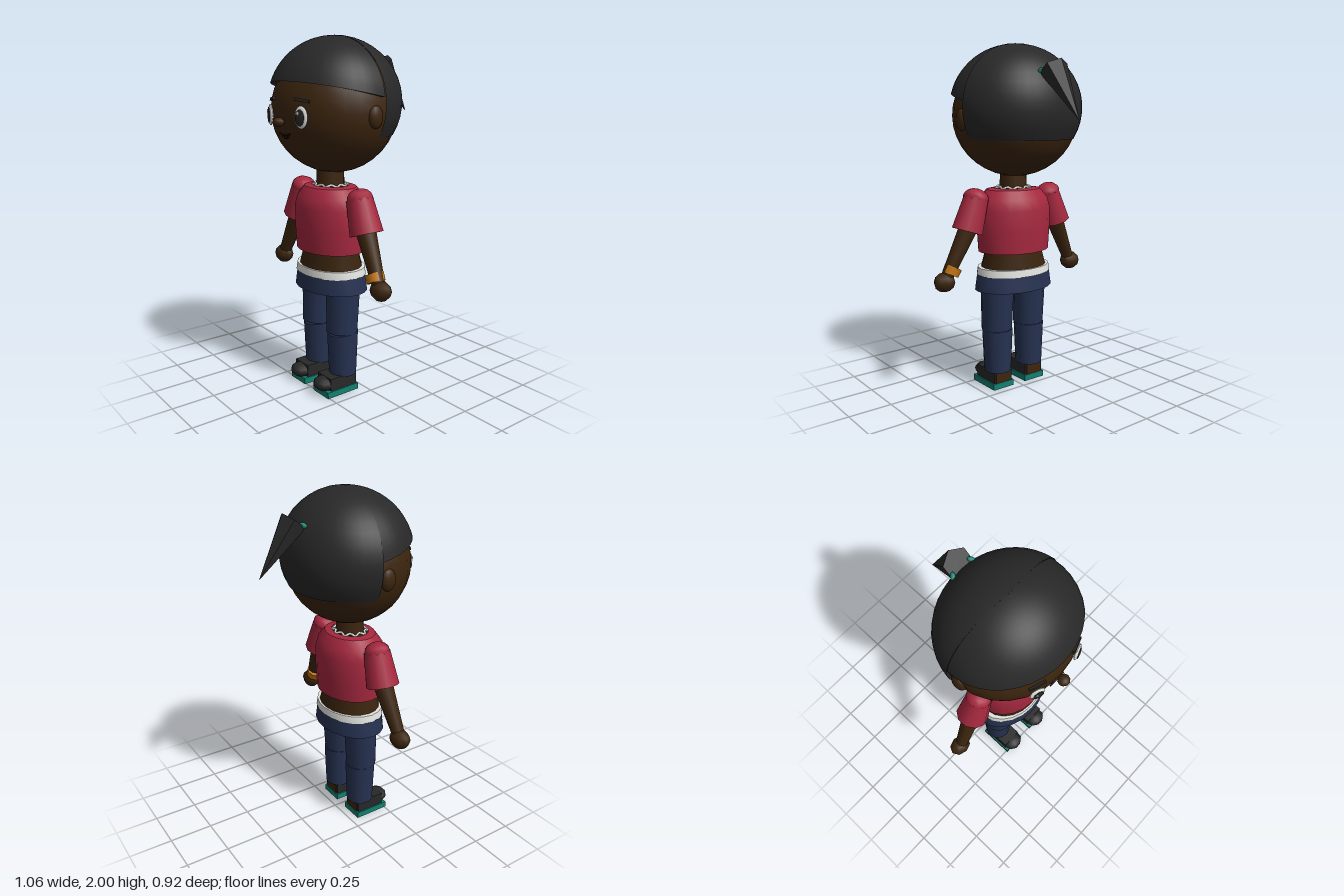
import * as THREE from 'three';
import { toCreasedNormals } from 'three/addons/utils/BufferGeometryUtils.js';

const mat = (name, color) => new THREE.MeshStandardMaterial({ name, color, side: THREE.DoubleSide });
const V = (x, y, z) => new THREE.Vector3(x, y, z);

export function createModel() {
  const skin = mat('skin', 0x3c250e), hair = mat('charcoal', 0x282828), red = mat('red', 0xa6283f);
  const denim = mat('denim', 0x263251), white = mat('white', 0xe4e4e0), teal = mat('teal', 0x128070);
  const orange = mat('orange', 0xc27512), dark = mat('darkBrown', 0x1c0f05);

  const model = new THREE.Group();
  model.name = 'character';
  const add = (name, geo, m, pos = [0, 0, 0], parent = model) => {
    const mesh = new THREE.Mesh(geo, m);
    mesh.name = name;
    mesh.position.set(...pos);
    parent.add(mesh);
    return mesh;
  };
  const box = (w, h, d) => new THREE.BoxGeometry(w, h, d);
  const ellipsoid = (rx, ry, rz, ws = 16, hs = 12) => new THREE.SphereGeometry(1, ws, hs).scale(rx, ry, rz);
  // Oval lathe around the body axis
  const oval = (name, pts, m, depth = 0.8) => add(name, toCreasedNormals(
    new THREE.LatheGeometry(pts.map(p => new THREE.Vector2(...p)), 20).scale(1, 1, depth), 0.6), m, [0, 0, 0.1]);
  // Tapered cylinder from a (radius ra) down to b (radius rb)
  const limb = (name, a, b, ra, rb, m, sides = 10) => {
    const mesh = add(name, new THREE.CylinderGeometry(ra, rb, a.distanceTo(b), sides), m);
    mesh.position.copy(a).lerp(b, 0.5);
    mesh.quaternion.setFromUnitVectors(V(0, 1, 0), a.clone().sub(b).normalize());
    return mesh;
  };

  // Torso and clothes
  oval('body', [[0, 0.64], [0.205, 0.64], [0.207, 0.72], [0.185, 0.8], [0.19, 0.9], [0.2, 1.05], [0.17, 1.14],
    [0.135, 1.172], [0.08, 1.182]], skin);
  add('neck', new THREE.CylinderGeometry(0.076, 0.082, 0.14, 12), skin, [0, 1.22, 0.1]);
  oval('shirt', [[0.18, 0.825], [0.222, 0.825], [0.23, 0.95], [0.232, 1.07], [0.215, 1.13], [0.168, 1.183], [0.12, 1.19]], red);
  oval('waistband', [[0.195, 0.69], [0.235, 0.69], [0.228, 0.732], [0.19, 0.732]], white, 0.76);
  oval('jeansHip', [[0.25, 0.6], [0.236, 0.692], [0.2, 0.692]], denim, 0.72);

  // Zigzag necklace
  const beads = Array.from({ length: 20 }, (_, i) => {
    const a = i * Math.PI / 10, r = i % 2 ? 0.108 : 0.092;
    return V(Math.cos(a) * r, 1.192 + (i % 2 ? -0.004 : 0.006), 0.1 + Math.sin(a) * r * 0.9);
  });
  add('necklace', new THREE.TubeGeometry(new THREE.CatmullRomCurve3(beads, true), 60, 0.007, 5, true), white);

  for (const s of [1, -1]) {
    const side = s > 0 ? 'left' : 'right';
    // Arm
    limb(side + 'Sleeve', V(s * 0.26, 1.145, 0.1), V(s * 0.322, 0.962, 0.1), 0.073, 0.092, red);
    add(side + 'Shoulder', ellipsoid(0.074, 0.055, 0.073, 10, 8), red, [s * 0.262, 1.145, 0.1]).rotation.z = s * 0.33;
    limb(side + 'Arm', V(s * 0.31, 0.99, 0.1), V(s * 0.445, 0.72, 0.12), 0.056, 0.036, skin);
    add(side + 'Hand', ellipsoid(0.066, 0.056, 0.053, 8, 6), skin, [s * 0.464, 0.688, 0.12]);

    // Leg, with a slit across the front of the knee
    const lower = new THREE.CylinderGeometry(0.09, 0.08, 0.255, 14);
    const p = lower.attributes.position;
    for (let i = 0; i < p.count; i++) {
      if (p.getY(i) > 0) p.setY(i, p.getY(i) - Math.max(0, p.getZ(i)) * 0.13);
    }
    limb(side + 'UpperLeg', V(s * 0.1175, 0.645, 0.1), V(s * 0.1175, 0.355, 0.11), 0.099, 0.09, denim, 14);
    add(side + 'LowerLeg', lower, denim, [s * 0.117, 0.2285, 0.104]);

    // Shoe
    add(side + 'Sole', box(0.142, 0.036, 0.215), teal, [s * 0.115, 0.018, 0.152]);
    add(side + 'Shoe', box(0.126, 0.075, 0.18), hair, [s * 0.115, 0.07, 0.143]);
    add(side + 'Toe', ellipsoid(0.064, 0.041, 0.06, 10, 8), hair, [s * 0.115, 0.066, 0.238]);
    add(side + 'Heel', box(0.1, 0.068, 0.006), skin, [s * 0.115, 0.07, 0.051]);
  }
  limb('bracelet', V(0.406, 0.768, 0.117), V(0.427, 0.727, 0.119), 0.052, 0.05, orange);

  // Head
  const C = V(0, 1.6, 0.075), R = V(0.37, 0.342, 0.335);
  add('head', ellipsoid(R.x, R.y, R.z, 24, 18), skin, C.toArray());
  const faceZ = (x, y) => C.z + R.z * Math.sqrt(1 - (x / R.x) ** 2 - ((y - C.y) / R.y) ** 2);
  add('nose', ellipsoid(0.033, 0.025, 0.032, 10, 8), skin, [0, 1.55, 0.433]);
  const smile = (name, w, y, drop, m) => add(name, new THREE.TubeGeometry(new THREE.CatmullRomCurve3(
    [-1, -0.5, 0, 0.5, 1].map(t => {
      const py = y - drop * (1 - t * t);
      return V(t * w, py, faceZ(t * w, py) + 0.006);
    })), 12, 0.005, 5), m);
  smile('mouth', 0.05, 1.49, 0.012, dark);
  smile('lowerLip', 0.028, 1.472, 0.008, dark);

  for (const s of [1, -1]) {
    const side = s > 0 ? 'left' : 'right';
    const eye = new THREE.Group();
    eye.name = side + 'Eye';
    eye.position.set(s * 0.145, 1.58, faceZ(0.145, 1.58) + 0.008);
    eye.rotation.y = s * 0.36;
    model.add(eye);
    add('eyeWhite', ellipsoid(0.041, 0.058, 0.012), white, [0, 0, 0], eye);
    add('pupil', ellipsoid(0.028, 0.043, 0.005), hair, [-s * 0.002, -0.002, 0.011], eye);
    add('glint', ellipsoid(0.008, 0.01, 0.003, 8, 6), white, [-0.01, 0.02, 0.016], eye);
    const brow = add(side + 'Brow', box(0.09, 0.015, 0.012), hair, [s * 0.14, 1.665, faceZ(0.14, 1.665) + 0.002]);
    brow.rotation.set(-0.2, s * 0.38, -s * 0.06);
    add(side + 'Ear', ellipsoid(0.025, 0.06, 0.045, 12, 10), skin, [s * 0.363, 1.58, 0.08]);
  }

  // Hair shell: rows run from the crown down to a hem height that depends on z
  const H = V(0, 1.645, 0.07);
  const shell = (name, from, to, hem, rx, rz, ry) => {
    const rows = 14, cols = 20, pos = [], idx = [];
    for (let j = 0; j <= cols; j++) {
      const a = from + (to - from) * j / cols, c = Math.cos(a), s = Math.sin(a);
      let end = Math.PI / 2;
      for (let k = 0; k < 12; k++) {
        end = Math.acos(THREE.MathUtils.clamp((hem(H.z + s * rz * Math.sin(end)) - H.y) / ry, -1, 1));
      }
      for (let i = 0; i <= rows + 1; i++) {
        const t = end * Math.min(i, rows) / rows, r = Math.sin(t) * (i > rows ? 0.88 : 1);
        pos.push(c * rx * r, H.y + Math.cos(t) * ry, H.z + s * rz * r);
        if (j < cols && i <= rows) {
          const q = j * (rows + 2) + i, n = q + rows + 2;
          idx.push(q, n, q + 1, n, n + 1, q + 1);
        }
      }
    }
    const g = new THREE.BufferGeometry();
    g.setAttribute('position', new THREE.Float32BufferAttribute(pos, 3));
    g.setIndex(idx);
    add(name, toCreasedNormals(g, 0.8), hair);
  };
  const edge = -0.11;
  shell('hairFront', edge, Math.PI - edge, z => 1.68 + (z - 0.03) * 0.21, 0.384, 0.357, 0.354);
  shell('hairBack', Math.PI - edge, 2 * Math.PI + edge, () => 1.47, 0.39, 0.357, 0.355);

  // Ponytail with hair tie
  const tail = limb('ponytail', V(0, 1.85, -0.253), V(0, 1.58, -0.46), 0.08, 0.001, hair, 6);
  tail.geometry = toCreasedNormals(tail.geometry, 0.5);
  for (const s of [1, -1]) {
    const tie = add('hairTie', ellipsoid(0.014, 0.014, 0.024, 8, 6), teal, [s * 0.062, 1.838, -0.231]);
    tie.rotation.set(0.6, s * 0.6, 0);
  }
  return model;
}
